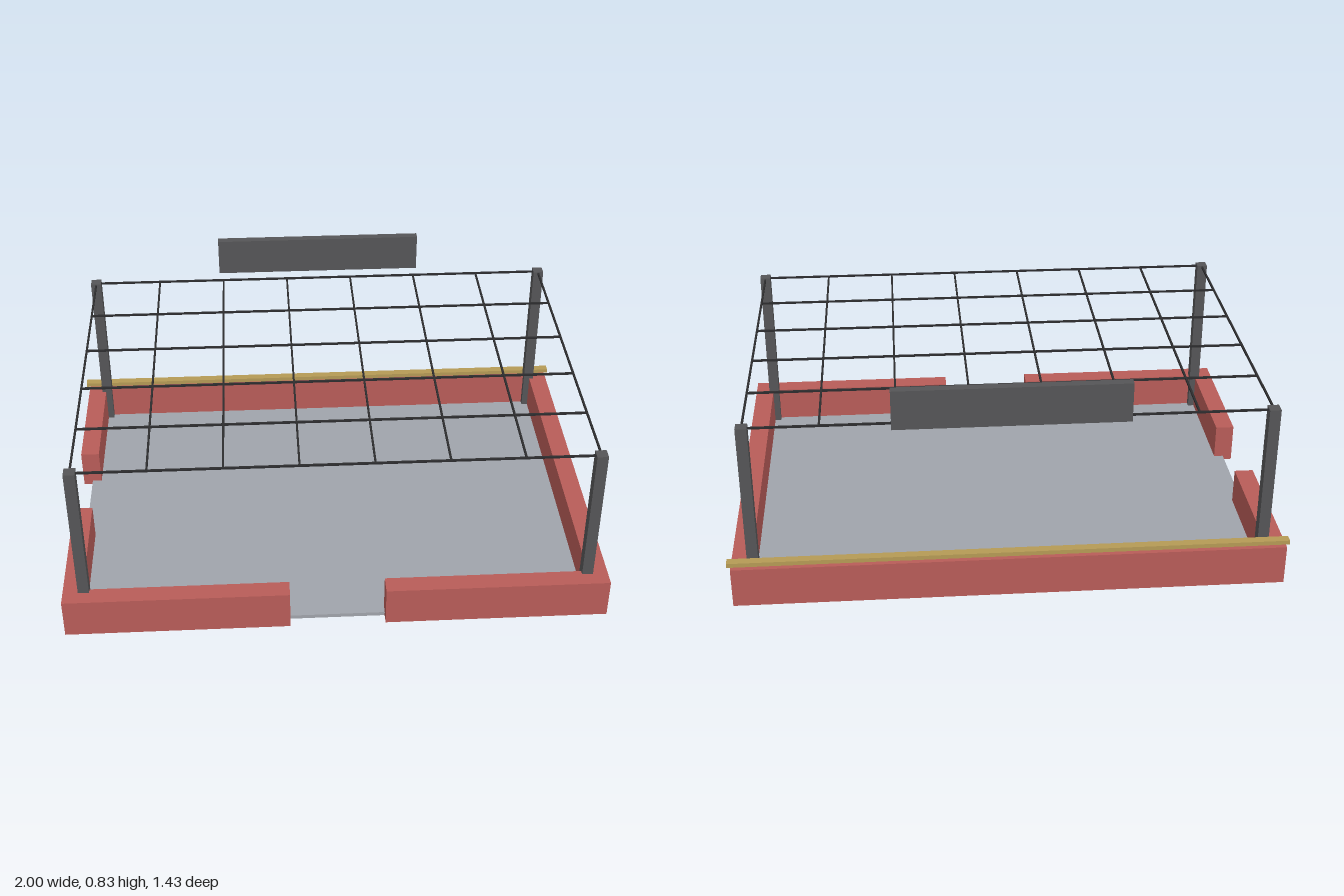
import * as THREE from 'three';

const mat = (color) => new THREE.MeshStandardMaterial({ color });

export function createModel() {
  const root = new THREE.Group();
  const model = new THREE.Group();
  model.name = 'pavilion';
  model.position.z = 0.004;
  root.add(model);

  const red = mat(0xb85c58), grey = mat(0xa0a4ab), dark = mat(0x555557);
  const black = mat(0x2c2c2e), gold = mat(0xb59a55);

  // Box given by its min and max corners
  const box = (name, material, x0, x1, y0, y1, z0, z1) => {
    const mesh = new THREE.Mesh(new THREE.BoxGeometry(x1 - x0, y1 - y0, z1 - z0), material);
    mesh.position.set((x0 + x1) / 2, (y0 + y1) / 2, (z0 + z1) / 2);
    mesh.name = name;
    model.add(mesh);
  };

  // Floor slab, reaching halfway under the walls
  box('floor', grey, -0.951, 0.951, 0.001, 0.016, -0.676, 0.676);

  // Low walls, with openings in the front and right sides
  const X = 0.986, Z = 0.7135, T = 0.071, H = 0.15, gap = 0.173;
  box('backWall', red, -X, X, 0, H, -Z, -Z + T);
  box('leftWall', red, X - T, X, 0, H, -Z + T, Z - T);
  box('frontWallRight', red, -X, -gap, 0, H, Z - T, Z);
  box('frontWallLeft', red, gap, X, 0, H, Z - T, Z);
  box('rightWallBack', red, -X, -X + T, 0, H, -Z + T, -gap);
  box('rightWallFront', red, -X, -X + T, 0, H, gap, Z - T);

  // Trim rail along the back wall
  box('trimRail', gold, -1, 1, 0.15, 0.166, -0.696, -0.665);

  // Corner posts
  const px = 0.911, pz = 0.6405, r = 0.02;
  for (const sx of [-1, 1]) for (const sz of [-1, 1])
    box('cornerPost', dark, sx * px - r, sx * px + r, 0, 0.68, sz * pz - r, sz * pz + r);

  // Overhead grid of thin bars, 7 by 5 bays
  const y = 0.673, t = 0.0035;
  for (let i = 0; i <= 7; i++) {
    const x = -px + (2 * px * i) / 7;
    box('gridBarLong', black, x - t, x + t, y - t, y + t, -pz, pz);
  }
  for (let j = 0; j <= 5; j++) {
    const z = -pz + (2 * pz * j) / 5;
    box('gridBarCross', black, -px, px, y - t, y + t, z - t, z + t);
  }

  // Plain sign board above the back edge
  box('signBoard', dark, -0.407, 0.407, 0.684, 0.829, -0.71, -0.679);

  return root;
}
